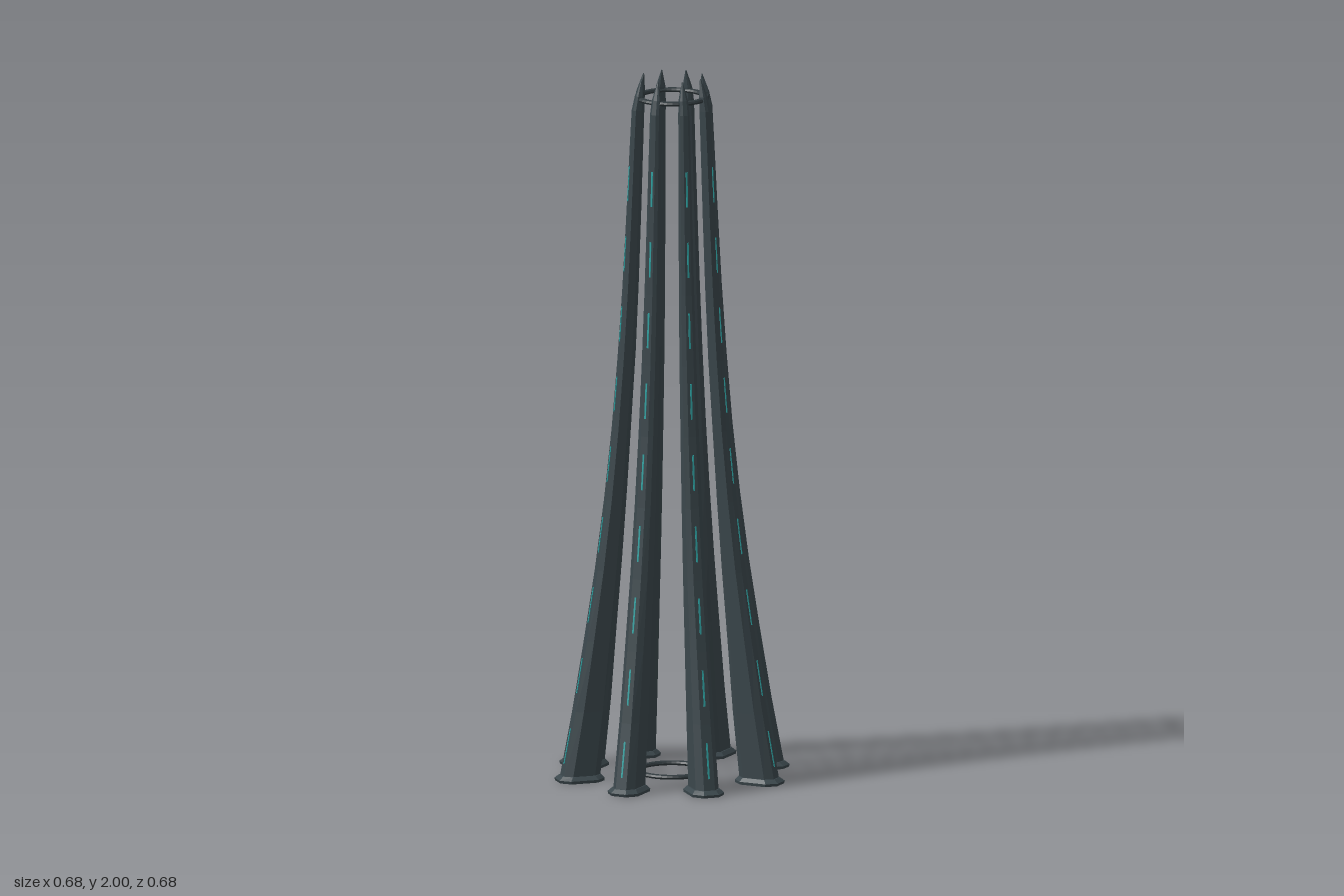
import * as THREE from 'three';

const LEGS = 8;
const bodyMat = new THREE.MeshStandardMaterial({ color: 0x3a464b, flatShading: true });
const ringMat = new THREE.MeshStandardMaterial({ color: 0x30393d, flatShading: true });
const lightMat = new THREE.MeshStandardMaterial({ color: 0x2fa3a3, flatShading: true });

// Chamfered eight-sided section: outer radius, inner radius, half width
function octagon([y, outer, inner, w]) {
  const c = (outer - inner) * 0.2, n = w * 0.48;
  return [
    [outer, n], [outer - c, w], [inner + c, w], [inner, n],
    [inner, -n], [inner + c, -w], [outer - c, -w], [outer, -n],
  ].map(([r, z]) => [r, y, z]);
}

// Skins a stack of sections and closes both ends
function loft(sections) {
  const rings = sections.map(octagon), n = rings[0].length, index = [];
  for (let j = 0; j < rings.length - 1; j++) {
    for (let k = 0; k < n; k++) {
      const a = j * n + k, b = j * n + (k + 1) % n;
      index.push(a, a + n, b, b, a + n, b + n);
    }
  }
  const top = (rings.length - 1) * n;
  for (let k = 1; k < n - 1; k++) {
    index.push(0, k, k + 1, top, top + k + 1, top + k);
  }
  const geo = new THREE.BufferGeometry();
  geo.setAttribute('position', new THREE.Float32BufferAttribute(rings.flat(2), 3));
  geo.setIndex(index);
  geo.computeVertexNormals();
  return geo;
}

// Height, outer radius, inner radius, half width up the leg
const legSections = [
  [0.014, 0.326, 0.218, 0.034],
  [0.2, 0.290, 0.197, 0.031],
  [0.4, 0.256, 0.180, 0.029],
  [0.6, 0.224, 0.162, 0.027],
  [0.8, 0.197, 0.146, 0.025],
  [1.0, 0.175, 0.132, 0.023],
  [1.2, 0.158, 0.118, 0.021],
  [1.4, 0.144, 0.108, 0.019],
  [1.6, 0.133, 0.100, 0.017],
  [1.8, 0.123, 0.093, 0.015],
  [1.91, 0.117, 0.089, 0.014],
  [1.95, 0.108, 0.087, 0.012],
  [2.0, 0.090, 0.087, 0.001],
];

const footSections = [
  [0, 0.338, 0.208, 0.046],
  [0.008, 0.341, 0.207, 0.047],
  [0.018, 0.328, 0.216, 0.037],
];

// Outer radius of the leg at a given height
function outerAt(y) {
  const i = Math.max(1, legSections.findIndex((s) => s[0] >= y));
  const a = legSections[i - 1], b = legSections[i];
  return THREE.MathUtils.lerp(a[1], b[1], (y - a[0]) / (b[0] - a[0]));
}

// Thin glowing dash lying on the outer face
function dashGeometry(y0, y1) {
  const r0 = outerAt(y0), r1 = outerAt(y1);
  const geo = new THREE.BoxGeometry(0.003, Math.hypot(y1 - y0, r1 - r0), 0.005);
  geo.rotateZ(Math.atan2(r0 - r1, y1 - y0));
  geo.translate((r0 + r1) / 2, (y0 + y1) / 2, 0);
  return geo;
}

export function createModel() {
  const model = new THREE.Group();
  model.name = 'tower';
  const add = (parent, name, geo, mat) => {
    const mesh = new THREE.Mesh(geo, mat);
    mesh.name = name;
    parent.add(mesh);
    return mesh;
  };

  const legGeo = loft(legSections), footGeo = loft(footSections);
  const dashes = [];
  for (let y = 0.05; y < 1.8; y += 0.2) dashes.push(dashGeometry(y, y + 0.1));

  // Eight curved legs around the axis
  for (let i = 0; i < LEGS; i++) {
    const leg = new THREE.Group();
    leg.name = `leg${i + 1}`;
    leg.rotation.y = (i / LEGS) * Math.PI * 2;
    add(leg, 'legBody', legGeo, bodyMat);
    add(leg, 'foot', footGeo, bodyMat);
    dashes.forEach((d) => add(leg, 'lightStrip', d, lightMat));
    model.add(leg);
  }

  // Slim rings at the ground and just below the tips
  for (const [name, y] of [['baseRing', 0.01], ['topRing', 1.94]]) {
    const geo = new THREE.TorusGeometry(0.095, 0.01, 8, 40);
    geo.rotateX(Math.PI / 2);
    geo.scale(1, 0.7, 1);
    add(model, name, geo, ringMat).position.y = y;
  }
  return model;
}
